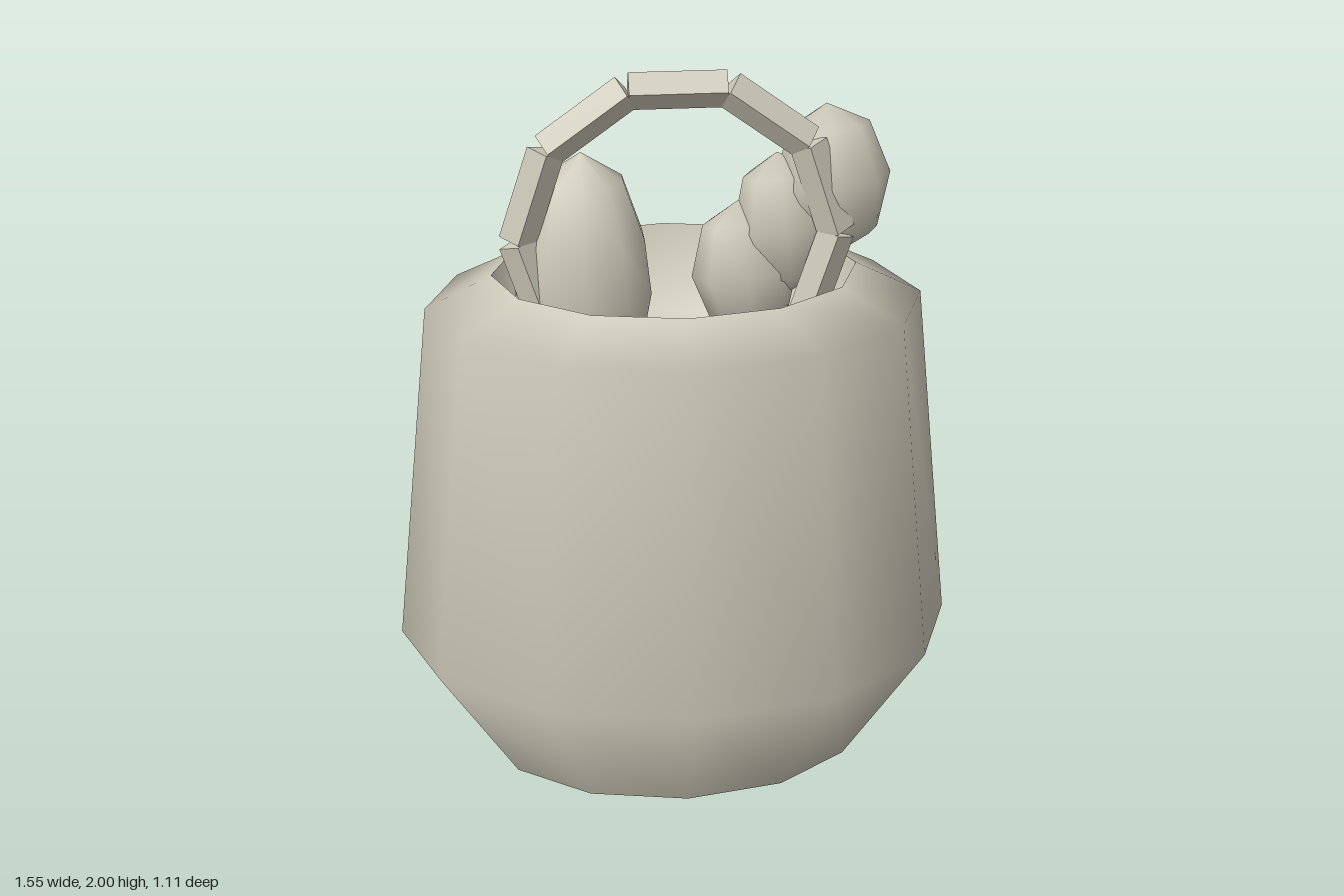
import * as THREE from 'three';

const clay = new THREE.MeshStandardMaterial({ color: 0xcdc9b9 });

function addPart(parent, name, geometry) {
  const mesh = new THREE.Mesh(geometry, clay);
  mesh.name = name;
  parent.add(mesh);
  return mesh;
}

// Lathe profile given as [radius, height] pairs, listed bottom to top for outward faces
function lathe(points, sides) {
  return new THREE.LatheGeometry(points.map(([r, y]) => new THREE.Vector2(r, y)), sides);
}

// Oval sack: twelve sides, outer shell, hollow mouth and flat base
function createSack() {
  const sack = new THREE.Group();
  sack.name = 'sack';
  addPart(sack, 'sackShell', lathe([[0.535, 0], [0.775, 0.36], [0.67, 1.34], [0.49, 1.43]], 12));
  addPart(sack, 'sackMouth', lathe([[0.49, 1.43], [0.4, 1.2], [0, 1.1]], 12));
  addPart(sack, 'sackBase', lathe([[0, 0], [0.535, 0]], 12));
  sack.scale.z = 0.715;
  return sack;
}

// Ring of ten straight bars, each with a diamond cross-section
function createRing() {
  const ring = new THREE.Group();
  ring.name = 'ring';
  const bar = new THREE.CylinderGeometry(0.05, 0.05, 0.255, 4).rotateZ(Math.PI / 2)
    .scale(1, 1, 0.75).toNonIndexed();
  bar.computeVertexNormals();
  for (let i = 0; i < 10; i++) {
    const a = (i * Math.PI) / 5;
    const mesh = addPart(ring, 'ringBar', bar);
    mesh.position.set(-0.4 * Math.sin(a), 0.4 * Math.cos(a), 0);
    mesh.rotation.z = a;
  }
  ring.position.set(0, 1.55, 0.078);
  return ring;
}

export function createModel() {
  const model = new THREE.Group();
  model.name = 'filledSack';
  model.add(createSack(), createRing());

  // Tall pointed egg
  const egg = addPart(model, 'tallEgg',
    lathe([[0, 1.05], [0.15, 1.16], [0.19, 1.38], [0.172, 1.53], [0.115, 1.69], [0, 1.765]], 10));
  egg.position.x = -0.247;
  egg.scale.z = 0.81;

  // Row of flattened beads climbing out of the mouth: x, y, radii and tilt
  const bead = new THREE.SphereGeometry(1, 8, 4);
  [
    [0.19, 1.42, 0.145, 0.2, 0.085, 0.1],
    [0.29, 1.55, 0.135, 0.2, 0.095, 0.1],
    [0.42, 1.67, 0.155, 0.21, 0.105, 0.1],
  ].forEach(([x, y, rx, ry, rz, tilt]) => {
    const mesh = addPart(model, 'bead', bead);
    mesh.position.set(x, y, 0);
    mesh.scale.set(rx, ry, rz);
    mesh.rotation.z = tilt;
  });
  return model;
}
